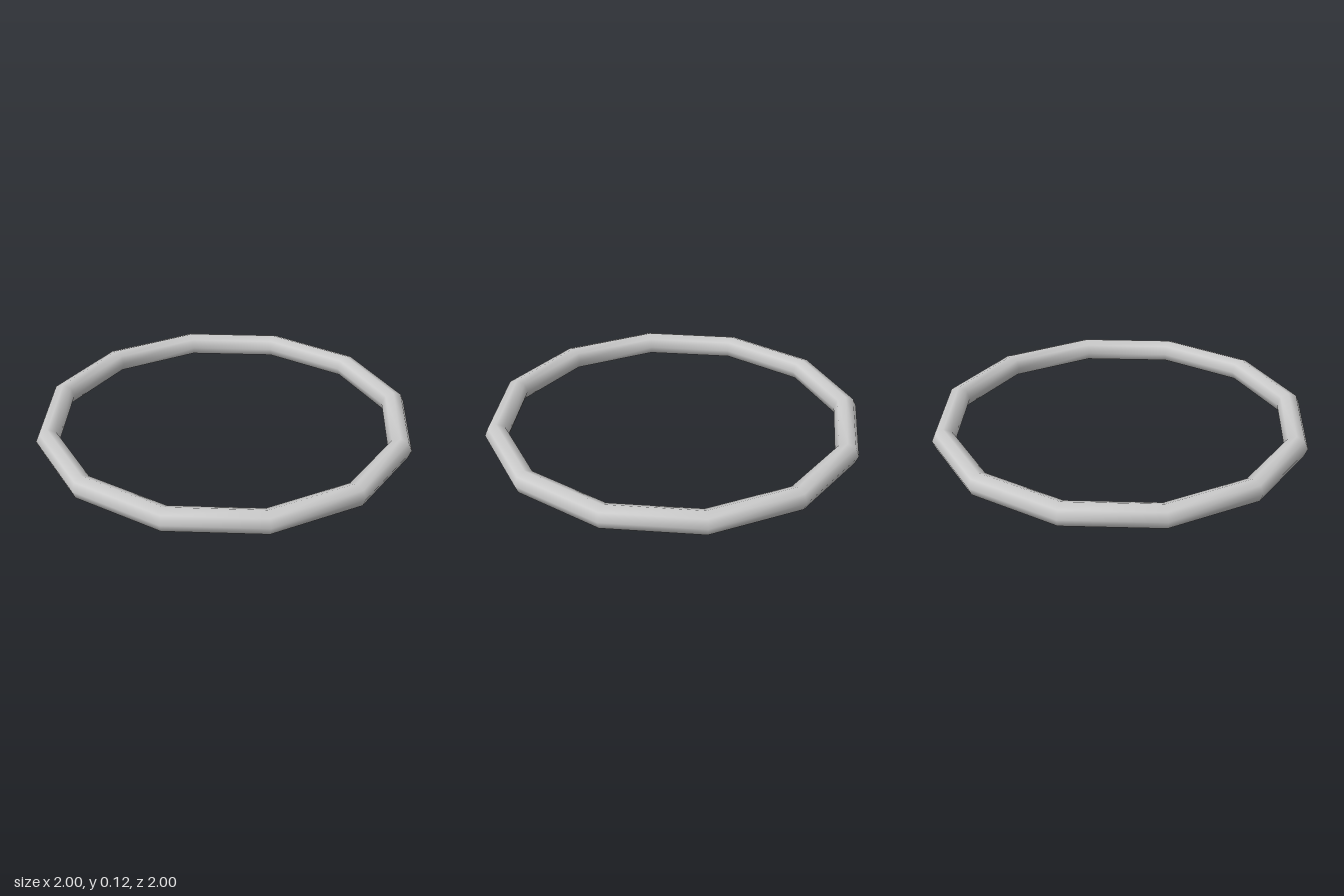
import * as THREE from 'three';

export function createModel() {
  const group = new THREE.Group();
  const tube = 0.0625;

  // Twelve-segment ring with a smooth-shaded octagonal tube, lying flat
  const geometry = new THREE.TorusGeometry(1 - tube, tube, 8, 12);
  geometry.rotateX(-Math.PI / 2);

  const ring = new THREE.Mesh(geometry, new THREE.MeshStandardMaterial({ color: 0xcccccc }));
  ring.name = 'ring';
  ring.position.y = tube;
  group.add(ring);

  return group;
}
